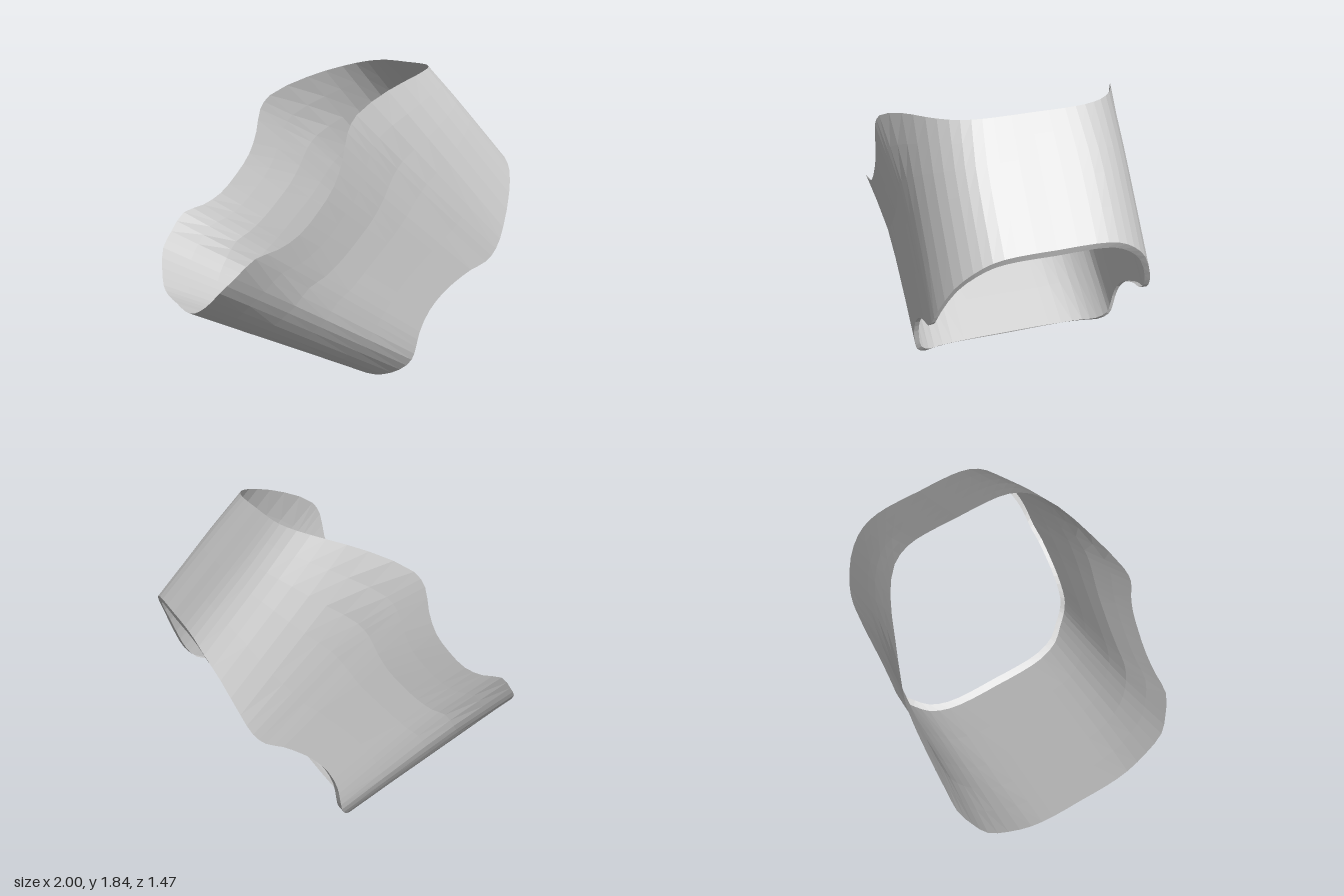
import * as THREE from 'three';

// Front half of each rim, from the middle of the lower end to the middle of the upper end.
const wideRim = [
  [-1, 0.46, 0], [-1, 0.46, 0.2], [-0.99, 0.485, 0.35], [-0.96, 0.56, 0.5], [-0.92, 0.66, 0.62],
  [-0.85, 0.75, 0.68], [-0.75, 0.86, 0.73], [-0.62, 0.9, 0.73], [-0.5, 0.97, 0.73],
  [-0.39, 1.09, 0.73], [-0.3, 1.22, 0.73], [-0.25, 1.36, 0.73], [-0.22, 1.51, 0.73],
  [-0.16, 1.6, 0.71], [0.07, 1.72, 0.62], [0.28, 1.79, 0.53], [0.41, 1.825, 0.43],
  [0.465, 1.837, 0.32], [0.48, 1.84, 0.2], [0.48, 1.84, 0],
];
const narrowRim = [
  [0.05, 0, 0], [0.05, 0, 0.2], [0.065, 0.008, 0.37], [0.11, 0.035, 0.5], [0.18, 0.08, 0.58],
  [0.23, 0.15, 0.635], [0.25, 0.23, 0.65], [0.27, 0.32, 0.655], [0.33, 0.44, 0.655],
  [0.42, 0.54, 0.655], [0.5, 0.6, 0.655], [0.6, 0.66, 0.655], [0.7, 0.7, 0.65],
  [0.77, 0.77, 0.645], [0.83, 0.89, 0.62], [0.91, 1.08, 0.545], [0.965, 1.2, 0.45],
  [0.99, 1.265, 0.35], [1, 1.29, 0.22], [1, 1.29, 0],
];

// Mirror a half rim across z and round it into a closed loop, two samples per point.
function closeLoop(half) {
  const front = half.map((p) => new THREE.Vector3(...p));
  const back = front.slice(1, -1).reverse().map((p) => new THREE.Vector3(p.x, p.y, -p.z));
  const points = [...front, ...back];
  return new THREE.CatmullRomCurve3(points, true).getPoints(points.length * 2).slice(0, -1);
}

// Skin a list of closed loops that have equal point counts.
function skin(loops) {
  const n = loops[0].length;
  const index = [];
  for (let r = 0; r < loops.length - 1; r++) {
    for (let i = 0; i < n; i++) {
      const a = r * n + i;
      const b = r * n + ((i + 1) % n);
      index.push(a, a + n, b, b, a + n, b + n);
    }
  }
  const geometry = new THREE.BufferGeometry().setFromPoints(loops.flat());
  geometry.setIndex(index);
  geometry.computeVertexNormals();
  return geometry;
}

export function createModel() {
  const group = new THREE.Group();
  group.name = 'curvedBand';
  const material = new THREE.MeshStandardMaterial({
    color: 0xcccccc, flatShading: true, side: THREE.DoubleSide,
  });
  const add = (name, loops) => {
    const mesh = new THREE.Mesh(skin(loops), material);
    mesh.name = name;
    group.add(mesh);
  };

  // Thin band between the rims; its sides flare only near the wide rim.
  // Each pair is the share of the way across, and the share of the change in depth.
  const wide = closeLoop(wideRim);
  const narrow = closeLoop(narrowRim);
  const stations = [[0, 0], [0.16, 0.42], [0.33, 0.82], [0.5, 0.95], [0.75, 1], [1, 1]];
  add('band', stations.map(([across, depth]) => wide.map((p, i) => {
    const q = p.clone().lerp(narrow[i], across);
    q.z = THREE.MathUtils.lerp(p.z, narrow[i].z, depth);
    return q;
  })));

  // Narrow lip turned inward along the smaller opening, thinnest at the sides
  const inner = narrow.map((p) => {
    const end = 1 - (p.z / 0.66) ** 2;
    return new THREE.Vector3(
      p.x + 0.06 * (0.52 - p.x) + 0.015 * end,
      p.y + 0.058 * (0.63 - p.y) - 0.007 * end,
      p.z * 0.96,
    );
  });
  add('lip', [narrow, inner]);

  return group;
}
